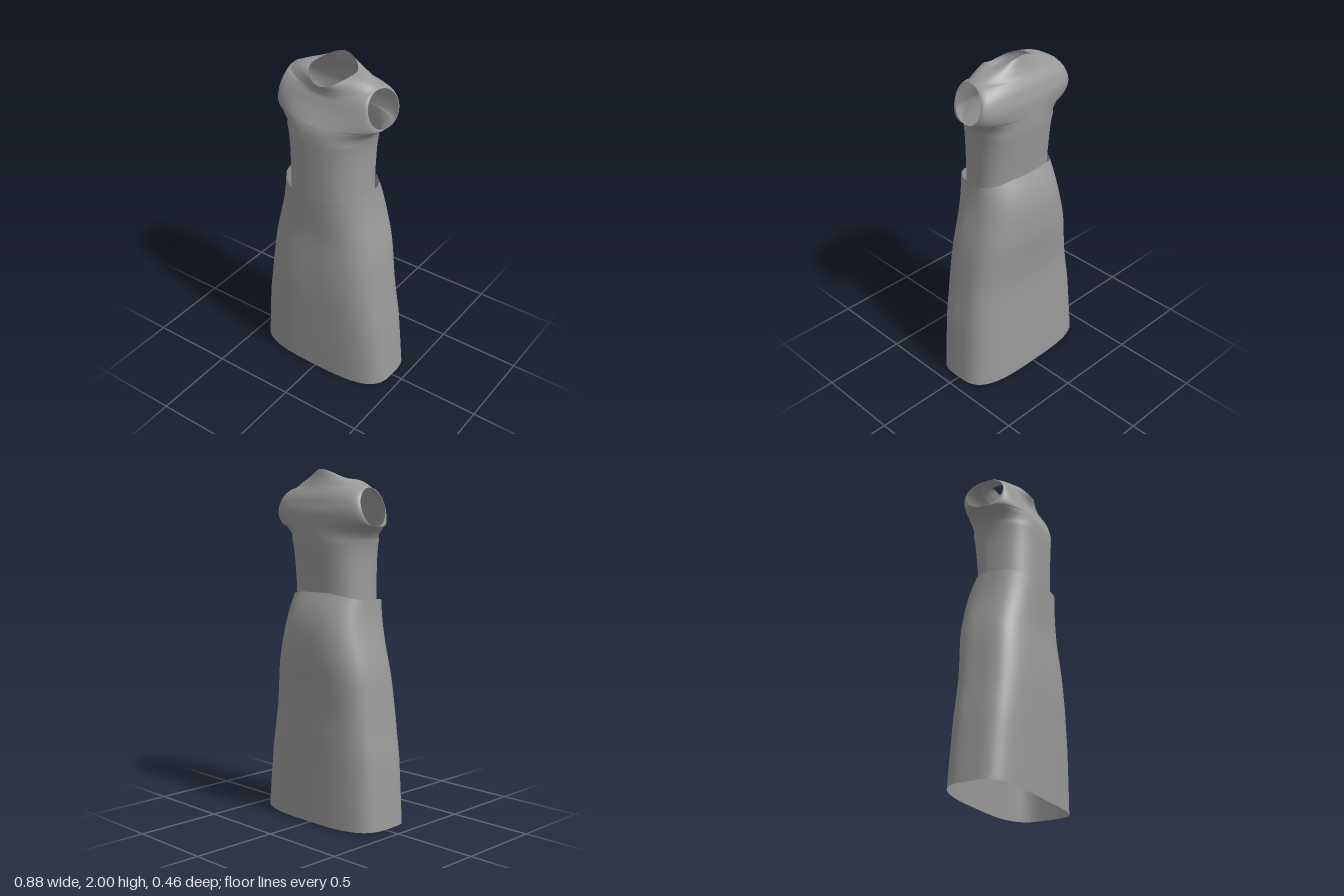
import * as THREE from 'three';
import { mergeGeometries, mergeVertices } from 'three/addons/utils/BufferGeometryUtils.js';

const COLS = 40;

// Piecewise linear lookup of a profile [[y, value], ...]
function at(profile, y) {
  if (y <= profile[0][0]) return profile[0][1];
  for (let i = 1; i < profile.length; i++) {
    const [y0, v0] = profile[i - 1], [y1, v1] = profile[i];
    if (y <= y1) return v0 + (v1 - v0) * (y - y0) / (y1 - y0);
  }
  return profile[profile.length - 1][1];
}

// Front (dir 1) or back (dir -1) panel; each row arcs from side to side over its centre point.
// Row: side [x, y, z], centre [y, z], p = roundness (1 ellipse, lower is boxier)
function panel(rows, dir) {
  const pos = [], index = [];
  rows.forEach(({ side, centre, p }, r) => {
    for (let c = 0; c <= COLS; c++) {
      const t = (c / COLS - 0.5) * Math.PI;
      const s = Math.abs(Math.sin(t));
      const k = c % COLS === 0 ? 0 : Math.cos(t);
      pos.push(
        dir * Math.sign(t) * side[0] * Math.pow(s, p),
        centre[0] + (side[1] - centre[0]) * Math.pow(s, 1.6),
        side[2] + (centre[1] - side[2]) * Math.pow(k, p)
      );
      if (r > 0 && c > 0) {
        const d = r * (COLS + 1) + c, a = d - COLS - 2;
        index.push(a, a + 1, d, a, d, d - 1);
      }
    }
  });
  const g = new THREE.BufferGeometry();
  g.setAttribute('position', new THREE.Float32BufferAttribute(pos, 3));
  g.setIndex(index);
  return g;
}

// Joins the two panels where their sides touch, with smooth normals across the seam
function garment(front, back) {
  const g = mergeVertices(mergeGeometries([panel(front, 1), panel(back, -1)]), 1e-4);
  g.computeVertexNormals();
  return g;
}

function skirtGeometry() {
  const width = [[0.02, 0.44], [0.2, 0.425], [0.4, 0.408], [0.55, 0.385], [0.7, 0.366], [0.85, 0.348],
    [0.95, 0.328], [1.1, 0.29], [1.2, 0.273], [1.29, 0.265]];
  const frontZ = [[0, 0.205], [0.3, 0.217], [0.6, 0.227], [0.75, 0.224], [0.97, 0.212], [1.1, 0.219], [1.245, 0.23]];
  const backZ = [[0, -0.215], [0.35, -0.206], [0.65, -0.2], [0.8, -0.212], [0.94, -0.228], [1.08, -0.228],
    [1.16, -0.218], [1.24, -0.198], [1.325, -0.153]];
  const front = [], back = [], n = 24;
  for (let i = 0; i <= n; i++) {
    const f = i / n, y = 0.02 + 1.265 * f;
    const side = [at(width, y), y, 0];
    const p = 0.58 + 0.22 * f * f;
    // level hem, waistband tilted up towards the back
    const yf = y - 0.018 * (1 - f) - 0.04 * f ** 4;
    const yb = y - 0.01 * (1 - f) + 0.04 * f ** 4;
    front.push({ side, centre: [yf, at(frontZ, yf)], p });
    back.push({ side, centre: [yb, at(backZ, yb)], p });
  }
  return garment(front, back);
}

function bodiceGeometry() {
  const frontZ = [[1.2, 0.208], [1.4, 0.213], [1.6, 0.217], [1.67, 0.21], [1.72, 0.178], [1.77, 0.147],
    [1.83, 0.122], [1.86, 0.124], [1.89, 0.138]];
  const backZ = [[1.2, -0.153], [1.33, -0.155], [1.45, -0.17], [1.63, -0.19], [1.77, -0.19], [1.85, -0.168],
    [1.91, -0.13], [1.95, -0.113], [2, -0.1]];
  const front = [], back = [];
  const add = (sf, sb, yf, yb, p) => {
    front.push({ side: sf, centre: [yf, at(frontZ, yf)], p });
    back.push({ side: sb, centre: [yb, at(backZ, yb)], p });
  };
  // torso up to the armpit
  const width = [[1.2, 0.238], [1.3, 0.235], [1.5, 0.236], [1.58, 0.245], [1.635, 0.262], [1.66, 0.292], [1.685, 0.33]];
  for (const y of [1.2, 1.27, 1.34, 1.41, 1.48, 1.53, 1.58, 1.61, 1.635, 1.66]) {
    const side = [at(width, y), y, -0.005];
    add(side, side, y, y, y < 1.62 ? 0.8 : 0.9);
  }
  // armholes: the sides of both panels follow the two halves of an oval
  const n = 16;
  for (let i = 0; i <= n; i++) {
    const f = i / n, a = (f - 0.5) * Math.PI;
    const c = i % n === 0 ? 0 : Math.cos(a), s = Math.sin(a);
    const y = 1.79 + 0.105 * s, x = 0.302 - 0.028 * s;
    const yMid = 1.685 + (y - 1.685) * 0.74;
    add([x - 0.015 * c, y, -0.005 + 0.11 * c], [x + 0.02 * c, y, -0.005 - 0.115 * c],
      yMid, 1.685 + (y - 1.685) * 1.03, 0.95);
  }
  // shoulders in to the neckline
  const m = 8;
  for (let i = 1; i <= m; i++) {
    const f = i / m;
    const side = [0.274 - 0.144 * f, 1.895 + 0.05 * f + 0.012 * Math.sin(f * Math.PI), -0.005 + 0.005 * f];
    add(side, side, 1.84 + 0.05 * f, 1.901 + 0.099 * f, 0.95);
  }
  return garment(front, back);
}

export function createModel() {
  const cloth = new THREE.MeshStandardMaterial({ color: 0x999999, side: THREE.DoubleSide });
  cloth.name = 'grey cloth';
  const model = new THREE.Group();
  model.name = 'dress';
  for (const [name, geometry] of [['skirt', skirtGeometry()], ['bodice', bodiceGeometry()]]) {
    const mesh = new THREE.Mesh(geometry, cloth);
    mesh.name = name;
    model.add(mesh);
  }
  return model;
}
